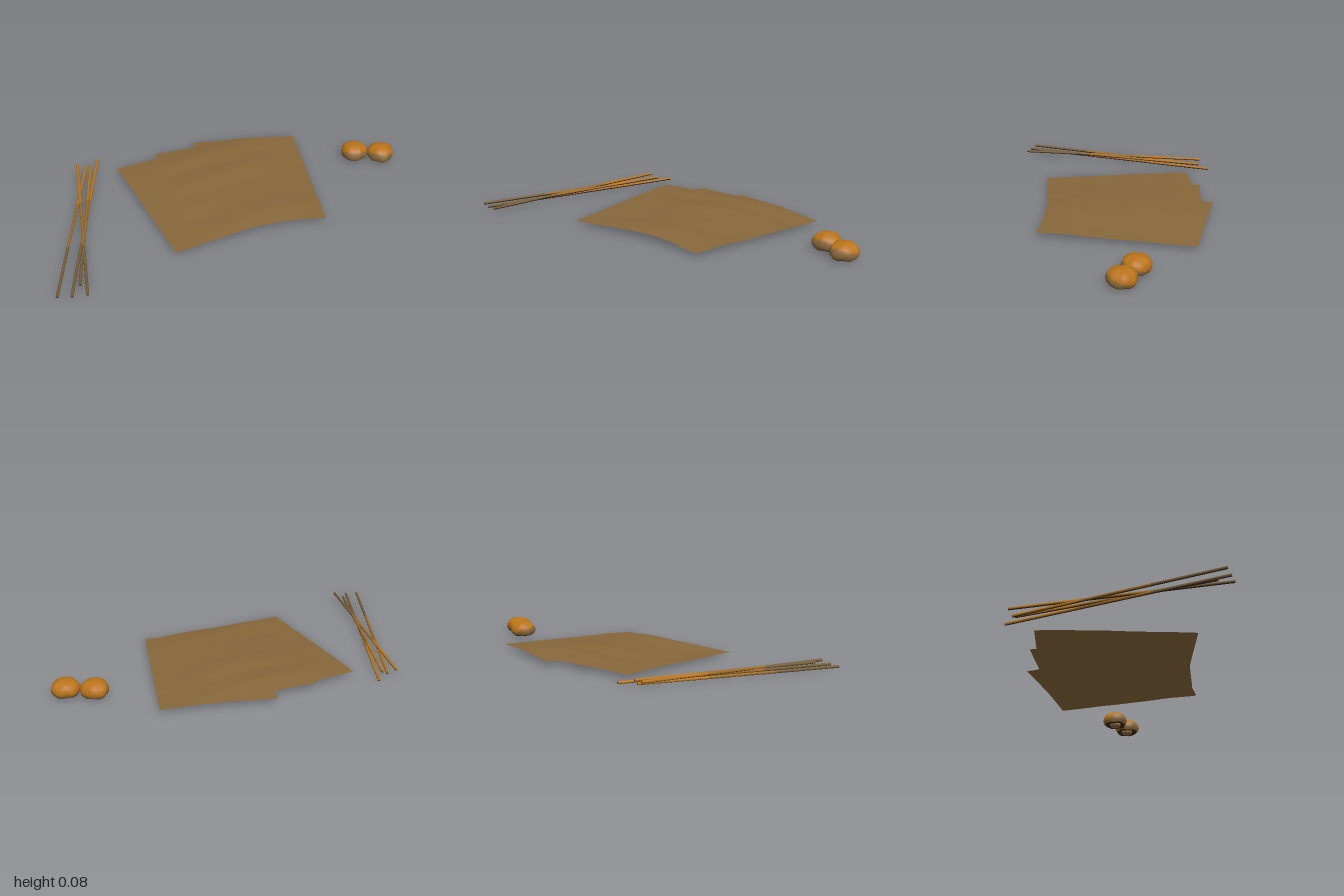
import * as THREE from 'three';

const mat = (name, color, side = THREE.FrontSide) => {
  const m = new THREE.MeshStandardMaterial({ color, side });
  m.name = name;
  return m;
};

export function createModel() {
  const paper = mat('brown paper', 0x87673b, THREE.DoubleSide);
  const stickGold = mat('golden stick', 0xb5761f);
  const stickBrown = mat('brown stick', 0x9a6a28);
  const stickDark = mat('weathered stick', 0x735d3a);
  const stickUnder = mat('stick underside', 0x40291a);
  const orange = mat('orange cap', 0xb97319);
  const tan = mat('tan cap side', 0x8e6c3e);
  const dark = mat('dark underside', 0x3c2614);

  const model = new THREE.Group();
  const add = (parent, name, geometry, material) => {
    const mesh = new THREE.Mesh(geometry, material);
    mesh.name = name;
    parent.add(mesh);
    return mesh;
  };

  // Crumpled height shared by the stacked sheets
  const bump = (d, w) => Math.exp(-(d * d) / (w * w));
  const crumple = (x, z) => {
    const ridges = 0.65 * bump(z - 0.31, 0.08) + bump(z + 0.08, 0.1)
      + bump(z + 0.27, 0.08) + 0.5 * bump(z - 0.12, 0.12);
    const across = bump(x - 0.06, 0.34);
    return 0.018 + across * (0.006 + 0.023 * ridges) + 0.003 * Math.sin(9 * x + 5 * z);
  };

  // Three sheets, fanned out; the top one tucks its front left corner under
  const sheets = new THREE.Group();
  sheets.name = 'sheets';
  model.add(sheets);
  const sheetData = [
    ['bottomSheet', -0.12, 0.008, 0, 0, 0],
    ['middleSheet', 0.2195, 0.0125, 0.308, 0.002, 0],
    ['topSheet', 0.05, 0.01, 0.146, 0.009, 0.1],
  ];
  for (const [name, cx, cz, angle, lift, tuck] of sheetData) {
    const g = new THREE.PlaneGeometry(0.56, 0.775, 12, 16);
    g.rotateX(-Math.PI / 2).rotateY(-angle).translate(cx, 0, cz);
    const p = g.attributes.position;
    for (let i = 0; i < p.count; i++) {
      const x = p.getX(i), z = p.getZ(i);
      p.setY(i, crumple(x, z) + lift - tuck * Math.max(0, z - 0.12) * bump(x + 0.28, 0.25));
    }
    g.computeVertexNormals();
    add(sheets, name, g, paper);
  }

  // Four crossed sticks, each duller toward the front and dark underneath
  const sticks = new THREE.Group();
  sticks.name = 'sticks';
  model.add(sticks);
  const stickData = [
    [[-0.585, 0.036, -0.485], [-0.87, 0.026, 0.505]],
    [[-0.465, 0.019, -0.51], [-0.935, 0.019, 0.48]],
    [[-0.545, 0.02, -0.47], [-0.994, 0.02, 0.455]],
    [[-0.52, 0.03, -0.46], [-0.88, 0.028, 0.43]],
  ];
  const up = new THREE.Vector3(0, 1, 0);
  const R = 0.007, PI = Math.PI;
  stickData.forEach(([back, front], i) => {
    const a = new THREE.Vector3(...back), b = new THREE.Vector3(...front);
    const dir = b.clone().sub(a), len = dir.length();
    const turn = new THREE.Quaternion().setFromUnitVectors(up, dir.clone().normalize());
    const place = (name, material, length, at, start, sweep) => {
      const piece = add(sticks, `stick${i + 1}${name}`,
        new THREE.CylinderGeometry(R, R, length, 8, 1, false, start, sweep), material);
      piece.position.lerpVectors(a, b, at);
      piece.quaternion.copy(turn);
    };
    [stickGold, stickBrown, stickDark].forEach((m, k) =>
      place(`Part${k + 1}`, m, len / 3, (k + 0.5) / 3, PI / 3, 4 * PI / 3));
    place('Underside', stickUnder, len, 0.5, -PI / 3, 2 * PI / 3);
  });

  // Lumpy caps with a hollow underside and a short stem
  const profiles = [
    ['stem', tan, [[0, 0.003], [0.028, 0.004], [0.032, 0.012], [0.026, 0.034]]],
    ['underside', dark, [[0.02, 0.032], [0.038, 0.022], [0.05, 0.008], [0.059, 0.013]]],
    ['cap', [tan, orange], [[0.059, 0.013], [0.065, 0.022], [0.068, 0.031], [0.069, 0.04],
      [0.067, 0.051], [0.063, 0.06], [0.057, 0.068], [0.042, 0.079], [0.022, 0.085], [0, 0.086]]],
  ];
  const capData = [['capBack', 0.809, 0.032, 0.4], ['capFront', 0.929, 0.105, 2.1]];
  for (const [name, x, z, seed] of capData) {
    const group = new THREE.Group();
    group.name = name;
    group.position.set(x, 0, z);
    model.add(group);
    for (const [part, material, pts] of profiles) {
      const g = new THREE.LatheGeometry(pts.map(q => new THREE.Vector2(...q)), 28);
      const p = g.attributes.position;
      for (let i = 0; i < p.count; i++) {
        const px = p.getX(i), py = p.getY(i), pz = p.getZ(i);
        const t = Math.atan2(pz, px), r = Math.hypot(px, pz) / 0.07;
        const s = 1 + r * (0.035 * Math.sin(3 * t + seed) + 0.03 * Math.sin(7 * t + seed * 3 + py * 40));
        p.setXYZ(i, px * s, py + 0.003 * r * Math.sin(5 * t + seed), pz * s);
      }
      g.computeVertexNormals();
      // The tan side climbs higher at the front than at the back
      if (Array.isArray(material)) {
        const index = g.index;
        for (let i = 0; i < index.count; i += 3) {
          const c = new THREE.Vector3();
          for (let k = 0; k < 3; k++) {
            c.add(new THREE.Vector3().fromBufferAttribute(p, index.getX(i + k)));
          }
          c.divideScalar(3);
          g.addGroup(i, 3, c.y < 0.045 + 0.26 * c.z - 0.1 * c.x ? 0 : 1);
        }
      }
      add(group, part, g, material);
    }
  }
  return model;
}
